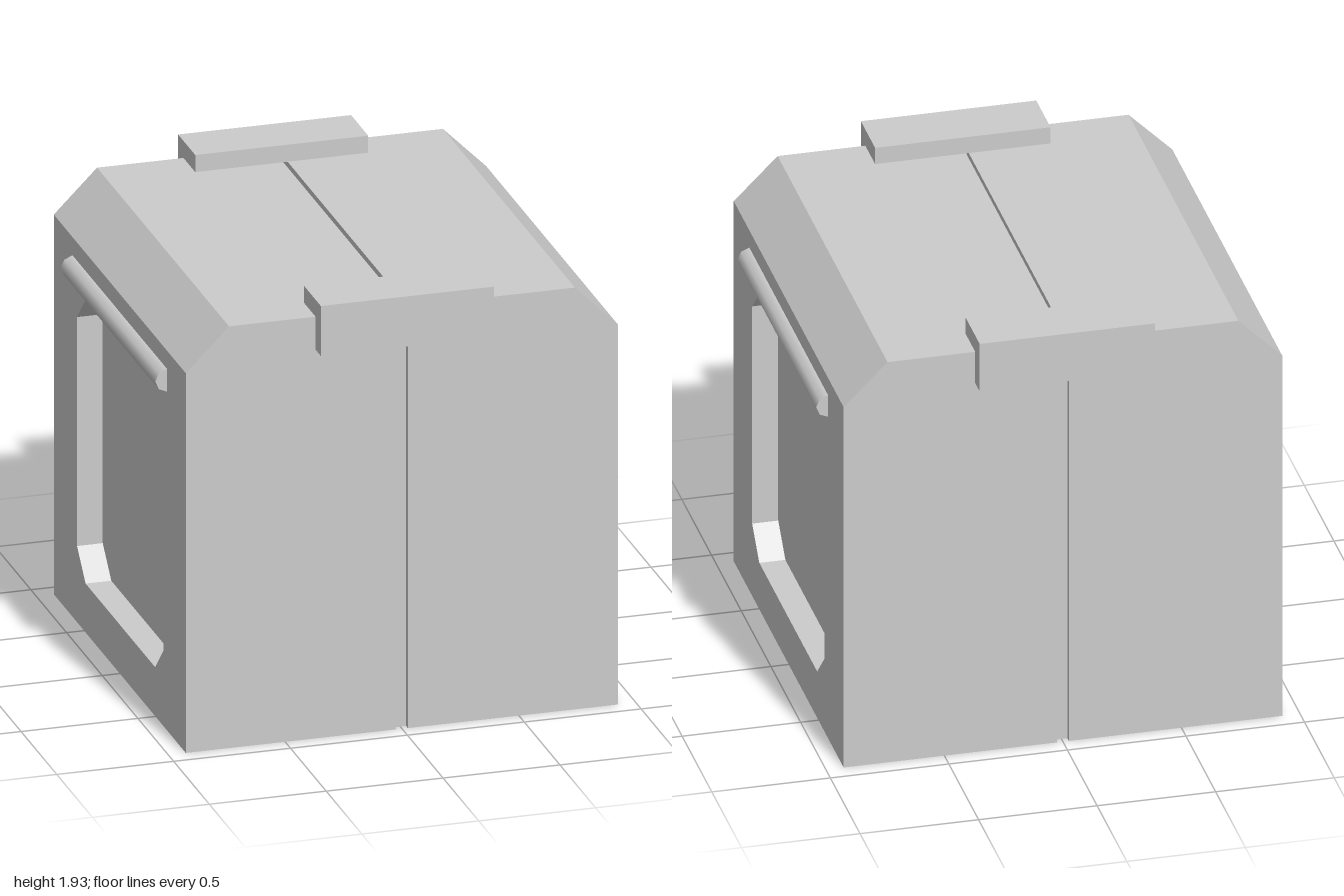
import * as THREE from 'three';

const material = new THREE.MeshStandardMaterial({ color: 0xcccccc });
const HALF = 0.925;        // half width and half depth of the case
const TOP = 1.855;         // height of the flat top
const SHOULDER = 1.67;     // height where the sloped top edge starts
const BEVEL_X = 0.74;      // where the slope meets the flat top
const GROOVE = 0.025;      // half width and depth of the centre groove
const RECESS_DEPTH = 0.11;

function part(parent, name, geometry) {
  const mesh = new THREE.Mesh(geometry, material);
  mesh.name = name;
  parent.add(mesh);
  return mesh;
}

function polygon(points) {
  return points.map(([x, y]) => new THREE.Vector2(x, y));
}

// Rectangle with cut corners, centred on cx
function recessOutline(cx) {
  const w = 0.607, c = 0.12, y0 = 0.215, y1 = 1.462;
  return polygon([
    [cx - w + c, y0], [cx + w - c, y0], [cx + w, y0 + c], [cx + w, y1 - c],
    [cx + w - c, y1], [cx - w + c, y1], [cx - w, y1 - c], [cx - w, y0 + c],
  ]);
}

// Half of the case: side outline with an opening, extruded sideways in two
// steps, then the inner top corners are raised to form the sloped shoulder
function shellGeometry(outline) {
  const shape = new THREE.Shape(polygon([[-HALF, 0], [HALF, 0], [HALF, SHOULDER], [-HALF, SHOULDER]]));
  shape.holes.push(new THREE.Path(outline));
  const depth = HALF - GROOVE;
  const geometry = new THREE.ExtrudeGeometry(shape, { depth, steps: 2, bevelEnabled: false });
  const pos = geometry.attributes.position;
  for (let i = 0; i < pos.count; i++) {
    const z = pos.getZ(i);
    if (Math.abs(z - depth / 2) < 0.01) pos.setZ(i, BEVEL_X - GROOVE);
    if (z < depth - 0.01 && pos.getY(i) > SHOULDER - 0.001) pos.setY(i, TOP);
  }
  geometry.computeVertexNormals();
  return geometry.rotateY(Math.PI / 2).translate(GROOVE, 0, 0);
}

// One side of the case, built facing +x
function createSide(sign) {
  const side = new THREE.Group();
  side.name = sign > 0 ? 'leftHalf' : 'rightHalf';
  const outline = recessOutline(-0.008 * sign);
  part(side, 'shell', shellGeometry(outline));
  part(side, 'recessPanel', new THREE.ShapeGeometry(new THREE.Shape(outline))
    .rotateY(Math.PI / 2).translate(HALF - RECESS_DEPTH, 0, 0));

  // Half-round grip rail above the recess
  const rail = new THREE.CylinderGeometry(0.05, 0.05, 1.324, 4, 1, false, 0, Math.PI);
  part(side, 'gripRail', rail.rotateX(Math.PI / 2).translate(HALF, 1.54, 0));

  if (sign < 0) side.rotation.y = Math.PI;
  return side;
}

// L-shaped clasp wrapped over the top front edge
function claspGeometry() {
  const width = 0.74;
  const shape = new THREE.Shape(polygon([
    [-1, 1.71], [-HALF, 1.71], [-HALF, TOP], [-0.76, TOP], [-0.76, 1.93], [-1, 1.93],
  ]));
  return new THREE.ExtrudeGeometry(shape, { depth: width, bevelEnabled: false })
    .rotateY(Math.PI / 2).translate(-width / 2, 0, 0);
}

export function createModel() {
  const model = new THREE.Group();
  model.name = 'case';
  model.add(createSide(1), createSide(-1));

  // Slab between the halves, forming the groove floor
  const h = TOP - GROOVE, d = 2 * (HALF - GROOVE);
  part(model, 'grooveFloor', new THREE.BoxGeometry(2 * GROOVE, h, d).translate(0, h / 2, 0));

  part(model, 'frontClasp', claspGeometry());
  part(model, 'backClasp', claspGeometry().rotateY(Math.PI));
  return model;
}
